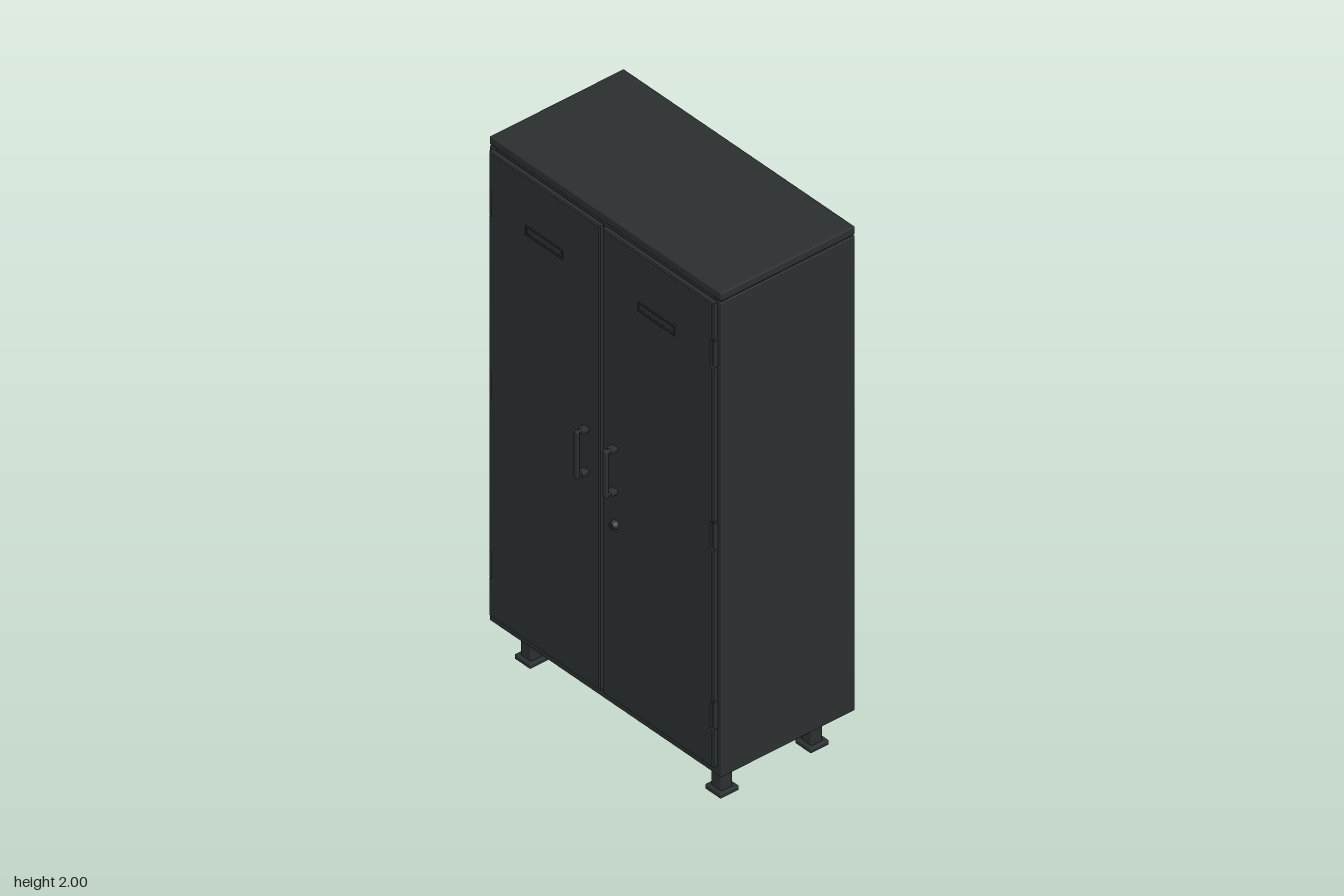
import * as THREE from 'three';
import { RoundedBoxGeometry } from 'three/addons/geometries/RoundedBoxGeometry.js';

const paint = new THREE.MeshStandardMaterial({ color: 0x2b2f30 });

function add(parent, name, geometry, x = 0, y = 0, z = 0) {
  const mesh = new THREE.Mesh(geometry, paint);
  mesh.name = name;
  mesh.position.set(x, y, z);
  parent.add(mesh);
  return mesh;
}

// Box given by its lower and upper limits on each axis
function box(parent, name, [x0, x1], [y0, y1], [z0, z1], bevel = 0) {
  const size = [x1 - x0, y1 - y0, z1 - z0];
  const geometry = bevel ? new RoundedBoxGeometry(...size, 2, bevel) : new THREE.BoxGeometry(...size);
  return add(parent, name, geometry, (x0 + x1) / 2, (y0 + y1) / 2, (z0 + z1) / 2);
}

const W = 0.553, BACK = -0.308, FRONT = 0.243, FACE = 0.262;
const HINGES = [0.375, 1.065, 1.765];

function makeCarcass() {
  const g = new THREE.Group();
  g.name = 'carcass';
  for (const s of [-1, 1]) {
    const xs = s > 0 ? [W - 0.025, W] : [-W, -W + 0.025];
    box(g, 'sidePanel', xs, [0.14, 1.964], [BACK, FRONT], 0.003);
  }
  box(g, 'bottomPanel', [-W + 0.002, W - 0.002], [0.14, 0.172], [BACK + 0.002, FRONT], 0.003);
  box(g, 'backPanel', [-W + 0.024, W - 0.024], [0.15, 1.962], [BACK + 0.004, BACK + 0.02]);
  box(g, 'topNeck', [-W + 0.006, W - 0.006], [1.945, 1.972], [BACK + 0.005, FRONT - 0.005]);
  box(g, 'topPanel', [-W, W], [1.969, 2.0], [BACK, FRONT], 0.004);
  // Shelves behind the doors
  for (const y of [0.615, 1.13, 1.64]) {
    box(g, 'shelf', [-W + 0.024, W - 0.024], [y - 0.011, y + 0.011], [BACK + 0.02, FRONT - 0.03]);
  }
  const rail = add(g, 'hangingRail', new THREE.CylinderGeometry(0.01, 0.01, 2 * W - 0.05, 12), 0, 1.82, -0.03);
  rail.rotation.z = Math.PI / 2;
  return g;
}

// Door outline with notches for the hinges on its outer edge
function doorGeometry(s) {
  const x0 = 0.009, x1 = 0.533, notch = 0.524, y0 = 0.179, y1 = 1.958;
  const points = [[x0, y0], [x1, y0]];
  for (const y of HINGES) {
    points.push([x1, y - 0.056], [notch, y - 0.05], [notch, y + 0.05], [x1, y + 0.056]);
  }
  points.push([x1, y1], [x0, y1]);
  const shape = new THREE.Shape(points.map(([x, y]) => new THREE.Vector2(s * x, y)));
  return new THREE.ExtrudeGeometry(shape, {
    depth: FACE - FRONT - 0.004, bevelThickness: 0.004, bevelSize: 0.004, bevelOffset: -0.001, bevelSegments: 1,
  });
}

function makeHandle(s) {
  const g = new THREE.Group();
  g.name = 'handle';
  for (const y of [0.988, 1.152]) {
    box(g, 'handleMount', [-0.013, 0.013], [y - 0.009, y + 0.009], [FACE - 0.002, 0.286], 0.003);
    const post = add(g, 'handlePost', new THREE.CylinderGeometry(0.008, 0.008, 0.024, 12), 0, y, 0.294);
    post.rotation.x = Math.PI / 2;
  }
  box(g, 'handleGrip', [-0.009, 0.009], [0.979, 1.161], [0.294, 0.308], 0.004);
  g.position.x = s * 0.069;
  return g;
}

function makeLabelHolder(s) {
  const g = new THREE.Group();
  g.name = 'labelHolder';
  const w = 0.088, h = 0.018, rim = 0.004;
  const frame = new THREE.Shape([[-w, -h], [w, -h], [w, h], [-w, h]].map(p => new THREE.Vector2(...p)));
  const a = w - rim, b = h - rim;
  frame.holes.push(new THREE.Path([[-a, -b], [-a, b], [a, b], [a, -b]].map(p => new THREE.Vector2(...p))));
  add(g, 'labelFrame', new THREE.ExtrudeGeometry(frame, { depth: 0.006, bevelEnabled: false }));
  // Small retaining tabs along the lower rim
  for (let i = -2; i <= 2; i++) {
    box(g, 'labelTab', [i * 0.033 - 0.005, i * 0.033 + 0.005], [-h, -h + 0.009], [0, 0.006]);
  }
  g.position.set(s * 0.268, 1.758, FACE - 0.002);
  return g;
}

function makeDoor(s) {
  const g = new THREE.Group();
  g.name = s > 0 ? 'leftDoor' : 'rightDoor';
  add(g, 'doorPanel', doorGeometry(s), 0, 0, FRONT);
  for (const y of HINGES) {
    add(g, 'hingeBarrel', new THREE.CylinderGeometry(0.008, 0.008, 0.1, 12), s * 0.534, y, 0.25);
  }
  g.add(makeHandle(s), makeLabelHolder(s));
  return g;
}

function makeLock() {
  const g = new THREE.Group();
  g.name = 'lock';
  const body = add(g, 'lockCollar', new THREE.CylinderGeometry(0.013, 0.019, 0.018, 16), 0, 0, 0.008);
  body.rotation.x = Math.PI / 2;
  box(g, 'lockKeyway', [-0.002, 0.002], [-0.007, 0.007], [0.015, 0.019]);
  g.position.set(0.069, 0.857, FACE - 0.001);
  return g;
}

function makeLeg(x, z) {
  const g = new THREE.Group();
  g.name = 'leg';
  box(g, 'legPost', [-0.025, 0.025], [0.01, 0.145], [-0.025, 0.025], 0.008);
  box(g, 'footPlate', [-0.038, 0.038], [0, 0.018], [-0.038, 0.038], 0.004);
  g.position.set(x, 0, z);
  return g;
}

export function createModel() {
  const model = new THREE.Group();
  model.name = 'lockerCabinet';
  model.add(makeCarcass(), makeLock());
  for (const s of [-1, 1]) {
    model.add(makeDoor(s));
    for (const z of [0.155, -0.215]) model.add(makeLeg(s * 0.455, z));
  }
  return model;
}
